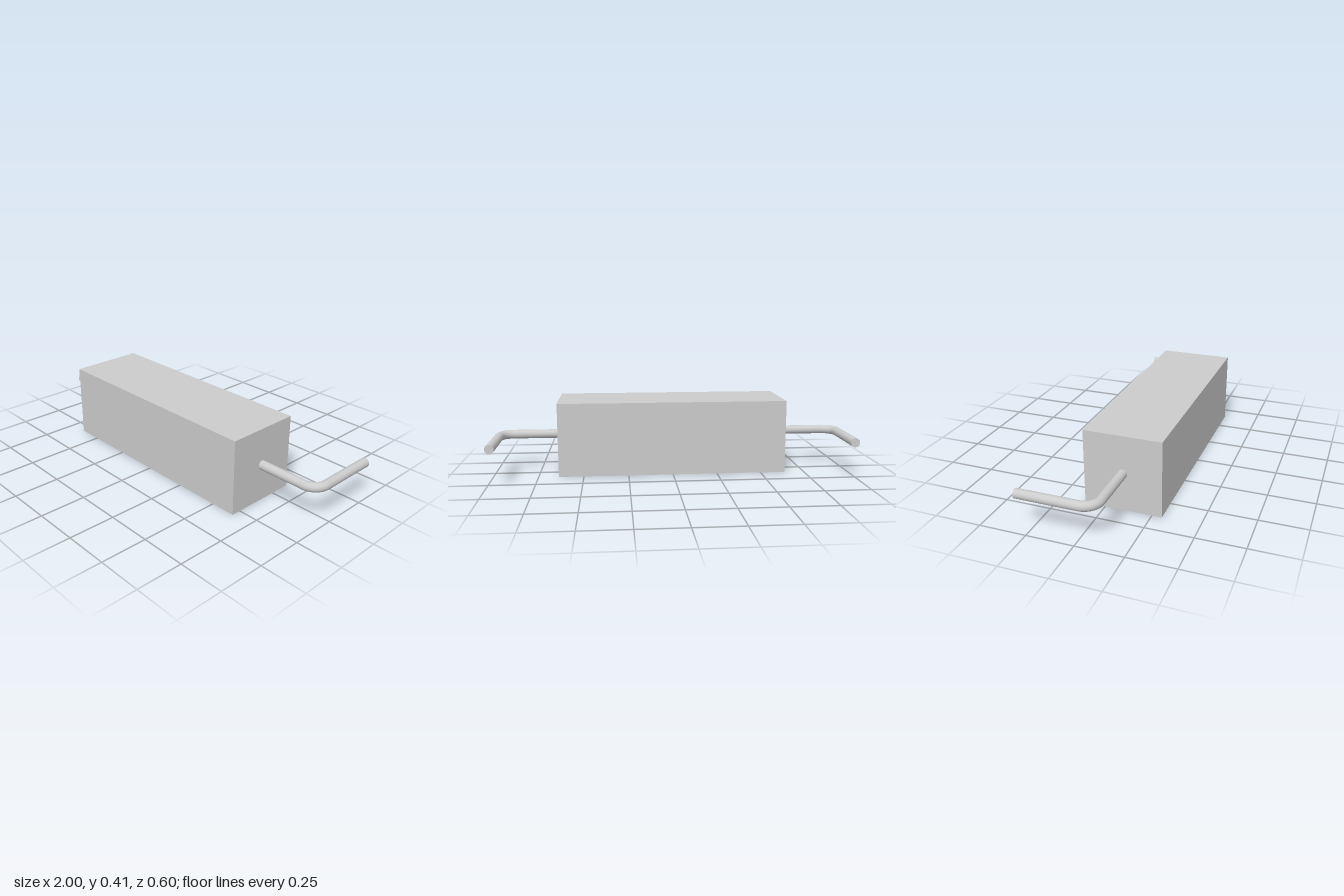
import * as THREE from 'three';

const BODY = { width: 1.276, height: 0.41, depth: 0.41, z: 0.097 };
const WIRE = { radius: 0.025, y: 0.206, z: 0.097, x: 0.975, endZ: -0.302, bend: 0.075 };

const grey = () => new THREE.MeshStandardMaterial({ color: 0xcccccc });

// Bent wire lead: straight out of the body end, rounded corner, then straight back
function createLead(side, name) {
  const { radius, y, z, x, endZ, bend } = WIRE;
  const p = (px, pz) => new THREE.Vector3(side * px, y, pz);
  const k = bend * (1 - 0.5523); // handle distance from the corner for a circular arc

  const path = new THREE.CurvePath();
  path.add(new THREE.LineCurve3(p(BODY.width / 2 - 0.01, z), p(x - bend, z)));
  path.add(new THREE.CubicBezierCurve3(p(x - bend, z), p(x - k, z), p(x, z - k), p(x, z - bend)));
  path.add(new THREE.LineCurve3(p(x, z - bend), p(x, endZ)));

  const lead = new THREE.Group();
  lead.name = name;

  const wire = new THREE.Mesh(new THREE.TubeGeometry(path, 72, radius, 32), grey());
  wire.name = 'wire';
  lead.add(wire);

  // Flat cut end facing the back
  const tip = new THREE.Mesh(new THREE.CircleGeometry(radius, 32), grey());
  tip.name = 'wireEnd';
  tip.rotation.y = Math.PI;
  tip.position.copy(p(x, endZ));
  lead.add(tip);
  return lead;
}

export function createModel() {
  const model = new THREE.Group();
  model.name = 'wireLeadComponent';

  // Solid rectangular body
  const body = new THREE.Mesh(new THREE.BoxGeometry(BODY.width, BODY.height, BODY.depth), grey());
  body.name = 'body';
  body.position.set(0, BODY.height / 2, BODY.z);
  model.add(body);

  // Leads on both ends
  model.add(createLead(1, 'leftLead'), createLead(-1, 'rightLead'));
  return model;
}
